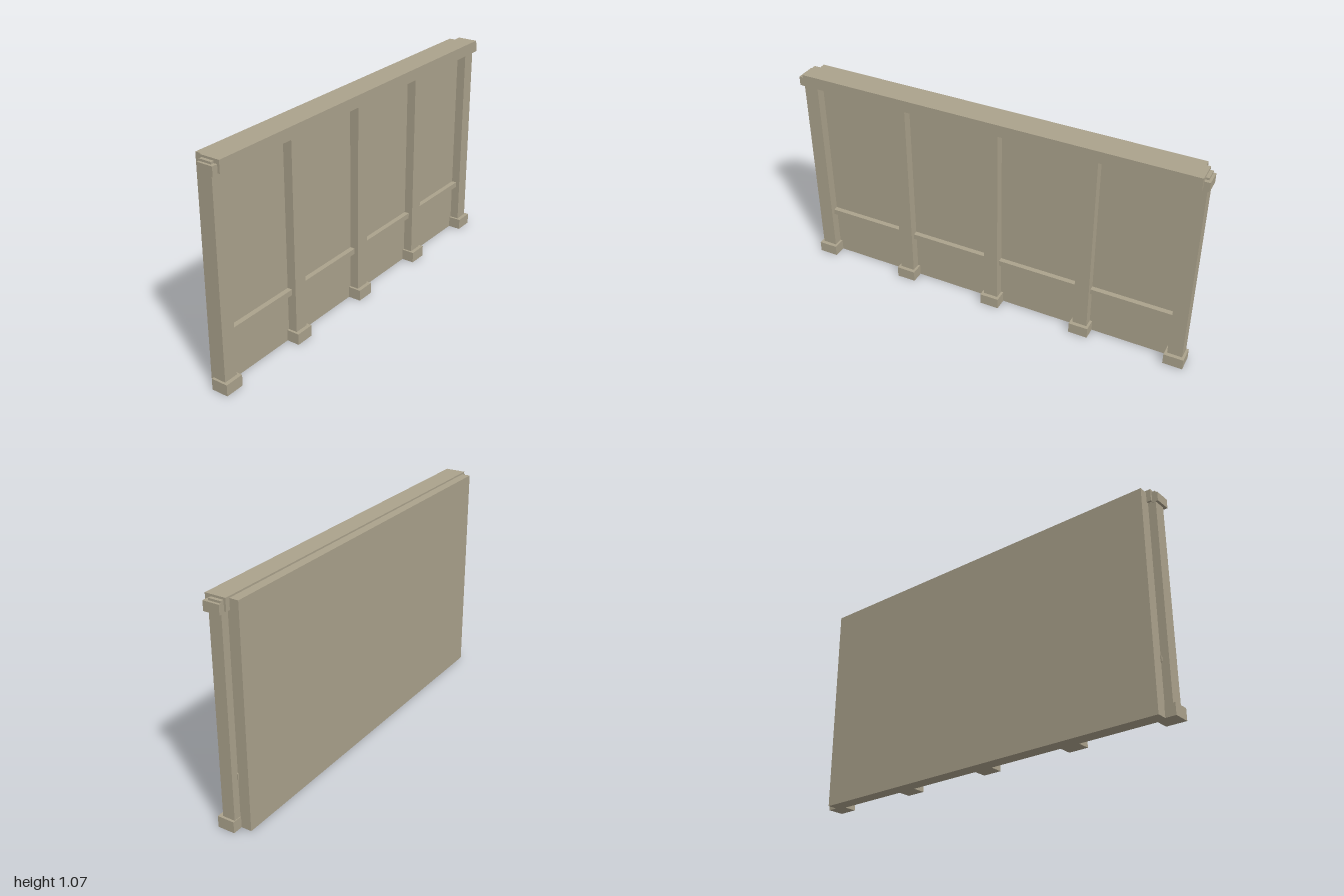
import * as THREE from 'three';

export function createModel() {
  const group = new THREE.Group();
  group.name = 'panelledWall';
  const stone = new THREE.MeshStandardMaterial({ color: 0xaba28c });
  stone.name = 'warmStone';

  // Box given by its extents along each axis
  const addBox = (name, [x0, x1], [y0, y1], [z0, z1]) => {
    const mesh = new THREE.Mesh(new THREE.BoxGeometry(x1 - x0, y1 - y0, z1 - z0), stone);
    mesh.name = name;
    mesh.position.set((x0 + x1) / 2, (y0 + y1) / 2, (z0 + z1) / 2);
    group.add(mesh);
  };

  // Back panel, top beam and low rail run the full length
  addBox('wallPanel', [-0.95, 0.95], [0, 1.057], [-0.071, 0]);
  addBox('topBeam', [-0.972, 0.972], [1.007, 1.065], [-0.028, 0.073]);
  addBox('lowRail', [-0.957, 0.957], [0.242, 0.27], [-0.022, 0.025]);

  // Five evenly spaced posts, each with a base and a cap
  for (let i = -2; i <= 2; i++) {
    const x = i * 0.476;
    addBox('post', [x - 0.036, x + 0.036], [0, 1.055], [-0.017, 0.045]);
    addBox('postBase', [x - 0.048, x + 0.048], [0, 0.055], [-0.02, 0.064]);
    addBox('postCap', [x - 0.048, x + 0.048], [1.0, 1.045], [-0.018, 0.062]);
  }
  return group;
}
